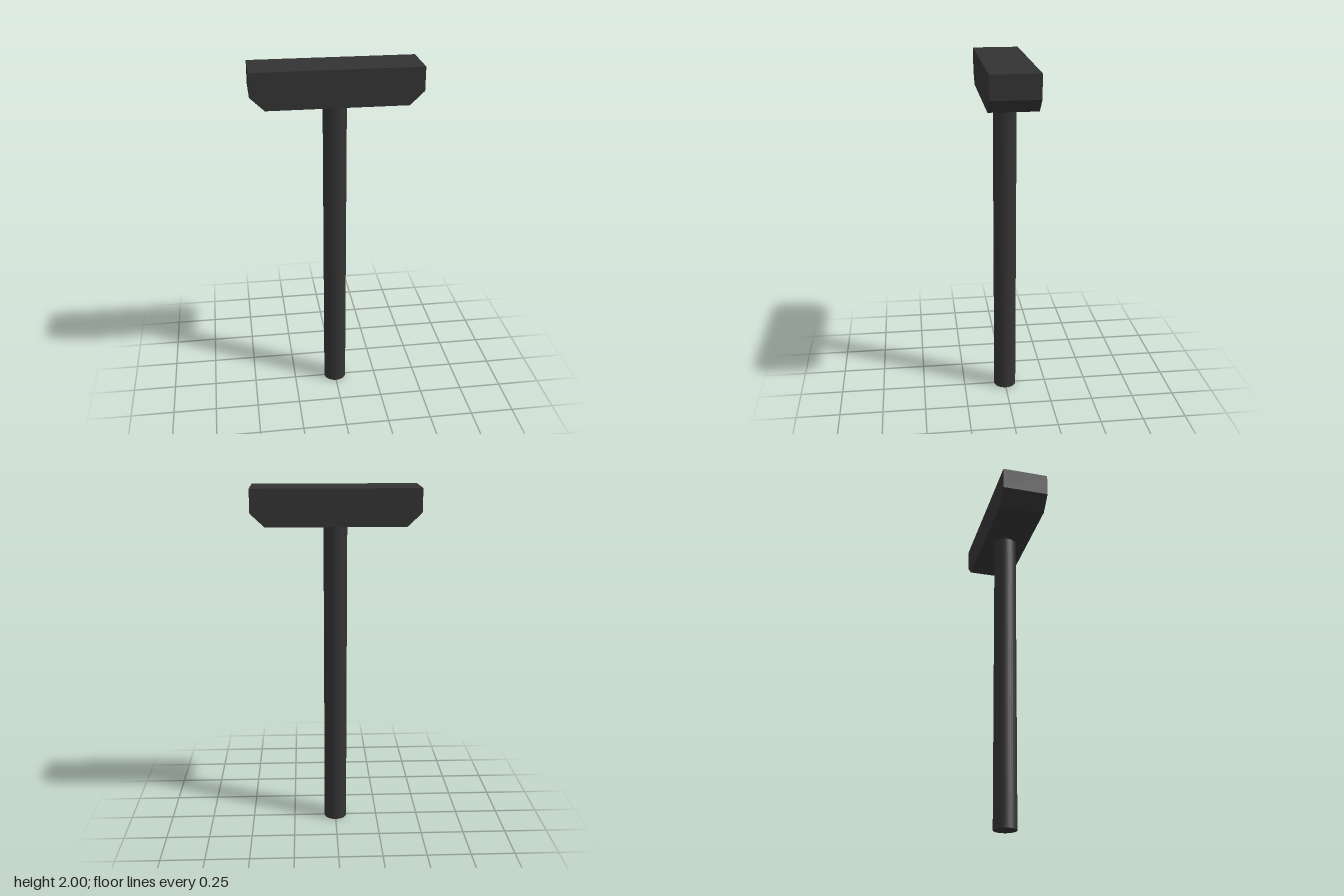
import * as THREE from 'three';

const HEAD_BOTTOM = 1.795;
const HEAD_DEPTH = 0.266;

export function createModel() {
  const group = new THREE.Group();
  const material = new THREE.MeshStandardMaterial({ color: 0x333333 });

  // Round post from the ground to the underside of the head
  const post = new THREE.Mesh(new THREE.CylinderGeometry(0.066, 0.066, HEAD_BOTTOM, 32), material);
  post.name = 'post';
  post.position.y = HEAD_BOTTOM / 2;
  group.add(post);

  // Crossbar head with chamfered lower ends
  const profile = new THREE.Shape([
    [-0.385, HEAD_BOTTOM], [0.385, HEAD_BOTTOM], [0.464, 1.87],
    [0.464, 2], [-0.464, 2], [-0.464, 1.87],
  ].map(([x, y]) => new THREE.Vector2(x, y)));
  const headGeometry = new THREE.ExtrudeGeometry(profile, { depth: HEAD_DEPTH, bevelEnabled: false });
  headGeometry.translate(0, 0, -HEAD_DEPTH / 2);
  const head = new THREE.Mesh(headGeometry, material);
  head.name = 'head';
  group.add(head);

  return group;
}
